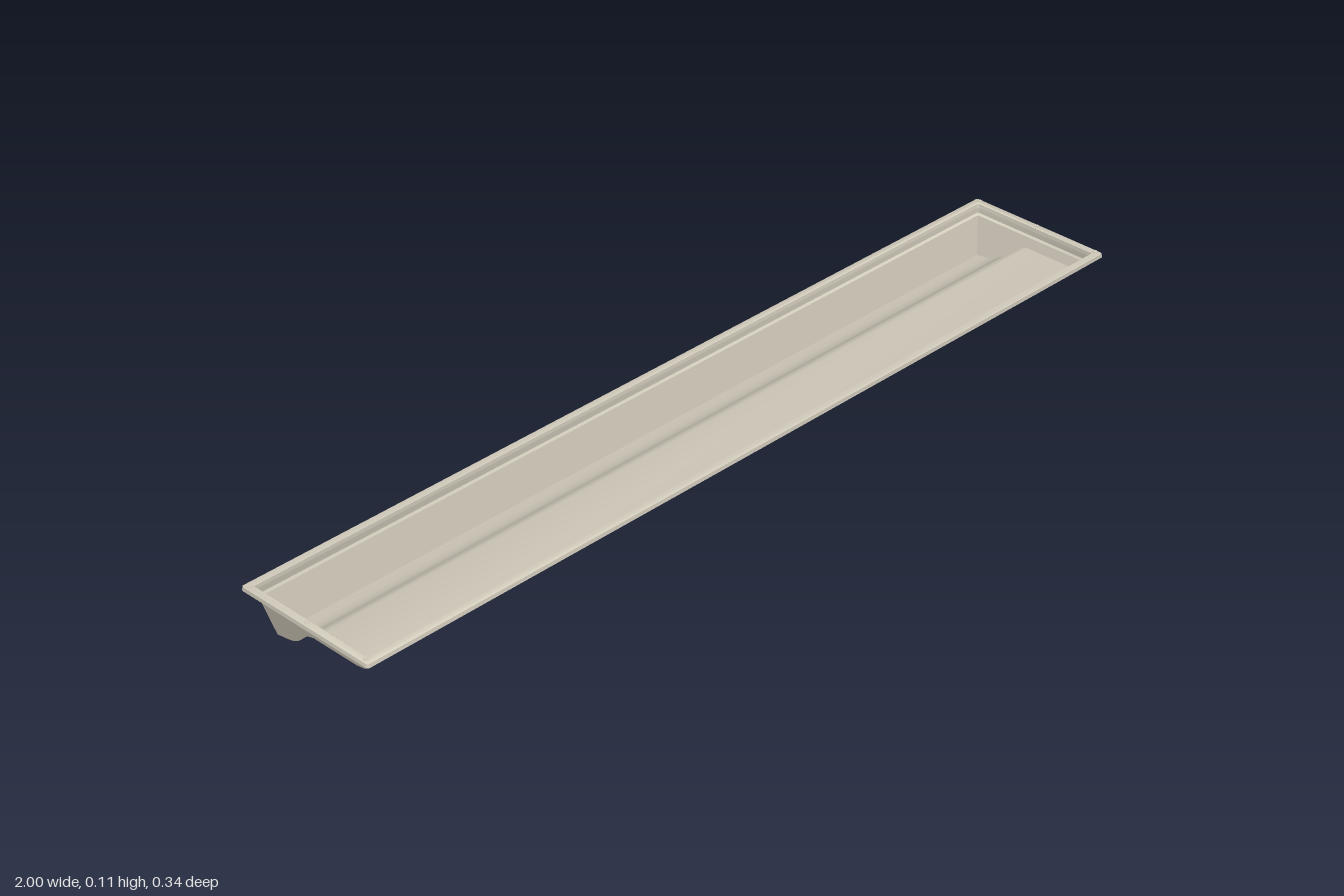
import * as THREE from 'three';
import { toCreasedNormals } from 'three/addons/utils/BufferGeometryUtils.js';

const enamel = new THREE.MeshStandardMaterial({ color: 0xd2ccbc, side: THREE.DoubleSide });
enamel.name = 'stoneEnamel';

// Builds a creased mesh from shared points and triangle indices
function surface(name, points, index, crease) {
  let geo = new THREE.BufferGeometry();
  geo.setAttribute('position', new THREE.Float32BufferAttribute(points.flat(), 3));
  geo.setIndex(index);
  geo = toCreasedNormals(geo, crease);
  const mesh = new THREE.Mesh(geo, enamel);
  mesh.name = name;
  return mesh;
}

// Horizontal rectangle with small rounded corners
function ring(hx, hz, y, r = 0.005, steps = 3) {
  const out = [];
  [[1, 1], [-1, 1], [-1, -1], [1, -1]].forEach(([sx, sz], corner) => {
    for (let i = 0; i <= steps; i++) {
      const a = (corner + i / steps) * Math.PI / 2;
      out.push([sx * (hx - r) + r * Math.cos(a), y, sz * (hz - r) + r * Math.sin(a)]);
    }
  });
  return out;
}

// Rim flange and the collar beneath it, lofted through rings
function makeRim() {
  const rings = [
    [0.982, 0.152, 0.098], [0.983, 0.153, 0.106], [0.985, 0.155, 0.108],
    [0.996, 0.166, 0.108], [0.999, 0.169, 0.106], [1, 0.17, 0.098],
    [0.982, 0.152, 0.098], [0.982, 0.152, 0.086], [0.978, 0.148, 0.082],
  ].map((p) => ring(...p));
  const n = rings[0].length;
  const index = [];
  for (let k = 0; k < rings.length - 1; k++) {
    for (let i = 0; i < n; i++) {
      const a = k * n + i, b = k * n + (i + 1) % n;
      index.push(a, a + n, b, b, a + n, b + n);
    }
  }
  return surface('rim', rings.flat(), index, 0.55);
}

// Basin: shallow shelf at the front, deep trough at the back, sloped ends
function makeBasin() {
  const profile = [
    [0.148, 0.082], [0.131, 0.065], [0.107, 0.06], [-0.008, 0.06],
    [-0.027, 0.054], [-0.046, 0.037], [-0.065, 0.02], [-0.085, 0.01],
    [-0.105, 0.005], [-0.129, 0.001], [-0.148, 0.082],
  ];
  const halfLength = (y) => 0.958 + 0.02 * y / 0.082;
  const n = profile.length;
  const points = [];
  for (const s of [1, -1]) {
    for (const [z, y] of profile) points.push([s * halfLength(y), y, z]);
  }
  const index = [];
  for (let i = 0; i < n - 1; i++) index.push(i, i + n, i + 1, i + 1, i + n, i + n + 1);

  // End walls
  const contour = profile.map(([z, y]) => new THREE.Vector2(z, y));
  for (const [a, b, c] of THREE.ShapeUtils.triangulateShape(contour, [])) {
    index.push(a, c, b, a + n, b + n, c + n);
  }
  return surface('basin', points, index, 0.65);
}

export function createModel() {
  const group = new THREE.Group();
  group.name = 'troughTray';
  group.add(makeRim(), makeBasin());

  // Small flat studs on the end rims
  for (const x of [-0.991, 0.991]) {
    for (const z of [-0.155, 0, 0.155]) {
      const stud = new THREE.Mesh(new THREE.CylinderGeometry(0.005, 0.005, 0.002, 12), enamel);
      stud.name = 'rimStud';
      stud.position.set(x, 0.108, z);
      group.add(stud);
    }
  }
  group.position.y = -0.001;
  const root = new THREE.Group();
  root.name = 'tray';
  root.add(group);
  return root;
}
